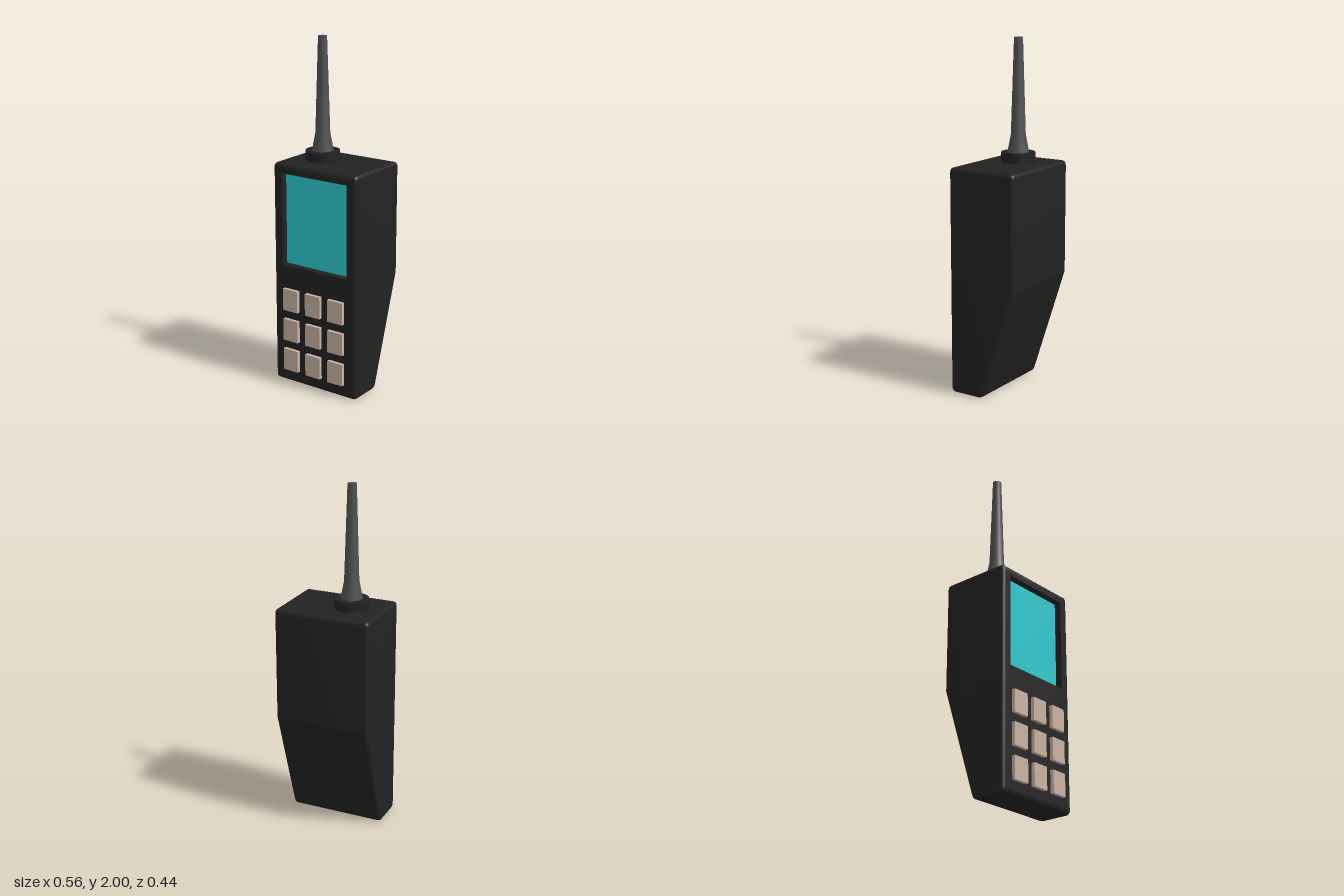
import * as THREE from 'three';
import { toCreasedNormals } from 'three/addons/utils/BufferGeometryUtils.js';

const W = 0.56, H = 1.305, FRONT = 0.2, BACK = -0.222;
const BEVEL = 0.02, ROUND = 0.03, RECESS = 0.04;
const SCREEN = { x: 0.22, y0: 0.715, y1: 1.25 };

const mat = (color) => new THREE.MeshStandardMaterial({ color });

function addMesh(parent, name, geometry, material, x = 0, y = 0, z = 0) {
  const mesh = new THREE.Mesh(geometry, material);
  mesh.name = name;
  mesh.position.set(x, y, z);
  parent.add(mesh);
  return mesh;
}

// Polygon whose corners [x, y, radius] are softened by the given setback
function roundedPolygon(corners) {
  const shape = new THREE.Shape();
  const pts = corners.map(([x, y]) => new THREE.Vector2(x, y));
  const toward = (a, b, d) => a.clone().add(b.clone().sub(a).setLength(d));
  corners.forEach(([, , r], i) => {
    const p = pts[i];
    const prev = pts[(i + pts.length - 1) % pts.length];
    const next = pts[(i + 1) % pts.length];
    const a = r ? toward(p, prev, r) : p;
    if (i === 0) shape.moveTo(a.x, a.y);
    else shape.lineTo(a.x, a.y);
    if (r) {
      const b = toward(p, next, r);
      shape.quadraticCurveTo(p.x, p.y, b.x, b.y);
    }
  });
  shape.closePath();
  return shape;
}

function rectangle(path, x, y0, y1) {
  path.moveTo(-x, y0);
  path.lineTo(x, y0);
  path.lineTo(x, y1);
  path.lineTo(-x, y1);
  path.closePath();
  return path;
}

// Side profile extruded across the width, left open at the flat front
function shellGeometry() {
  const profile = roundedPolygon([
    [FRONT, 0, ROUND], [FRONT, H, ROUND], [BACK, H, ROUND], [BACK, 0.655, 0], [-0.01, 0, ROUND],
  ]);
  const depth = W - 2 * BEVEL;
  let geo = new THREE.ExtrudeGeometry(profile, {
    depth, curveSegments: 6, bevelEnabled: true, bevelSegments: 6,
    bevelSize: BEVEL, bevelThickness: BEVEL, bevelOffset: -BEVEL,
  });
  geo.translate(0, 0, -depth / 2);
  geo.rotateY(-Math.PI / 2);
  if (geo.index) geo = geo.toNonIndexed();

  const src = geo.attributes.position;
  const kept = [];
  for (let i = 0; i < src.count; i += 3) {
    const onFront = [0, 1, 2].every((k) => src.getZ(i + k) > FRONT - 1e-4);
    if (onFront) continue;
    for (let k = 0; k < 3; k++) kept.push(src.getX(i + k), src.getY(i + k), src.getZ(i + k));
  }
  const open = new THREE.BufferGeometry();
  open.setAttribute('position', new THREE.Float32BufferAttribute(kept, 3));
  return toCreasedNormals(open, 0.3);
}

export function createModel() {
  const model = new THREE.Group();
  model.name = 'handset';
  const black = mat(0x222222);
  const grey = mat(0x505050);
  const beige = mat(0xc9b19f);

  // Body shell and the front panel with its screen opening
  const body = new THREE.Group();
  body.name = 'body';
  model.add(body);
  addMesh(body, 'shell', shellGeometry(), black);

  const panel = rectangle(new THREE.Shape(), W / 2 - BEVEL, ROUND, H - ROUND);
  panel.holes.push(rectangle(new THREE.Path(), SCREEN.x, SCREEN.y0, SCREEN.y1));
  addMesh(body, 'frontPanel',
    new THREE.ExtrudeGeometry(panel, { depth: RECESS, bevelEnabled: false }),
    black, 0, 0, FRONT - RECESS);

  // Recessed screen
  addMesh(model, 'screen',
    new THREE.BoxGeometry(2 * SCREEN.x, SCREEN.y1 - SCREEN.y0, 0.02), mat(0x2cc8cc),
    0, (SCREEN.y0 + SCREEN.y1) / 2, FRONT - RECESS - 0.01);

  // Keypad, outer columns turned slightly outward
  const keypad = new THREE.Group();
  keypad.name = 'keypad';
  model.add(keypad);
  const keyGeo = new THREE.BoxGeometry(0.102, 0.13, 0.04);
  for (let row = 0; row < 3; row++) {
    for (let col = -1; col <= 1; col++) {
      const key = addMesh(keypad, 'key', keyGeo, beige, col * 0.155, 0.145 + row * 0.184, 0.201);
      key.rotation.y = col * 0.02;
    }
  }

  // Antenna: collar and tapered mast
  const antenna = new THREE.Group();
  antenna.name = 'antenna';
  antenna.position.set(-0.092, 0, -0.013);
  model.add(antenna);
  addMesh(antenna, 'antennaCollar', new THREE.CylinderGeometry(0.097, 0.097, 0.07, 32),
    black, 0, 1.325, 0);
  const mast = [[0.062, 1.355], [0.042, 1.46], [0.025, 2], [0, 2]]
    .map(([r, y]) => new THREE.Vector2(r, y));
  addMesh(antenna, 'antennaMast',
    toCreasedNormals(new THREE.LatheGeometry(mast, 24), 0.5), grey);

  return model;
}
